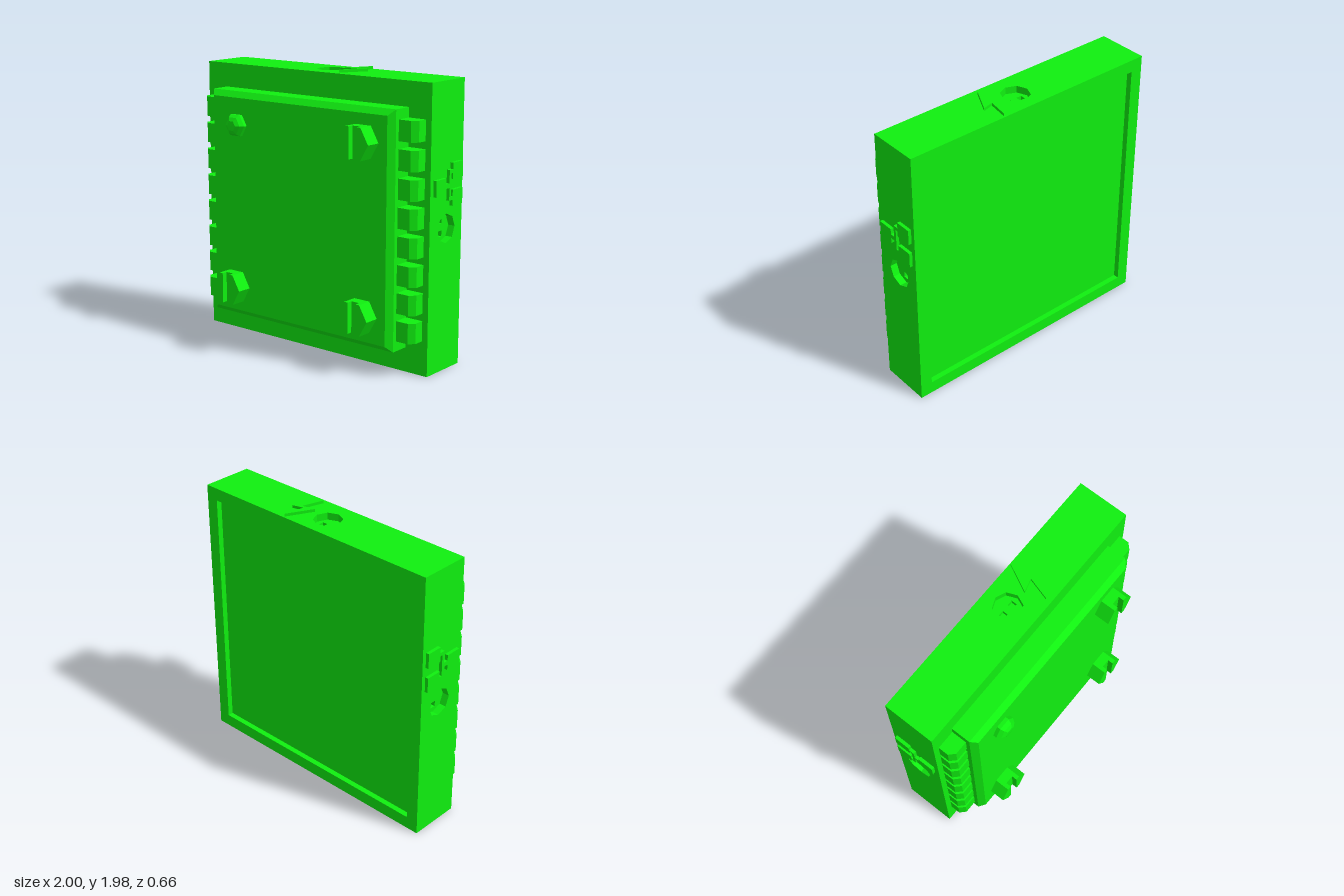
import * as THREE from 'three';

const W = 0.977, H = 1.96, ZB = -0.33, ZF = 0.04; // case half width, height, back and front
const green = new THREE.MeshStandardMaterial({ color: 0x10f010, flatShading: true });
const greenBoth = new THREE.MeshStandardMaterial({ color: 0x10f010, flatShading: true, side: THREE.DoubleSide });

function add(parent, name, geometry, x = 0, y = 0, z = 0, material = green) {
  const mesh = new THREE.Mesh(geometry, material);
  mesh.name = name;
  mesh.position.set(x, y, z);
  parent.add(mesh);
  return mesh;
}

function poly(points, holes = []) {
  const shape = new THREE.Shape(points.map(([x, y]) => new THREE.Vector2(x, y)));
  shape.holes = holes.map((h) => new THREE.Path(h.map(([x, y]) => new THREE.Vector2(x, y))));
  return shape;
}
const rect = (x0, x1, y0, y1) => [[x0, y0], [x1, y0], [x1, y1], [x0, y1]];
const ring = (n, r, cx = 0, cy = 0) => Array.from({ length: n }, (_, i) => {
  const a = (i / n) * Math.PI * 2;
  return [cx + r * Math.cos(a), cy + r * Math.sin(a)];
});
const extrude = (points, depth) => new THREE.ExtrudeGeometry(poly(points), { depth, bevelEnabled: false });

// One wall of the case in its own plane, facing local +z
function wall(parent, name, points, holes = []) {
  const group = new THREE.Group();
  group.name = name;
  add(group, name + 'Surface', new THREE.ShapeGeometry(poly(points, holes)));
  parent.add(group);
  return group;
}

// Sunken octagonal socket with two square pin holes in a row along local x
function socket(parent, x, y, turn) {
  const group = new THREE.Group();
  const r = 0.1, depth = 0.05, pin = 0.04, pinDepth = 0.03;
  group.name = 'socket';
  group.position.set(x, y, 0);
  group.rotation.z = turn;
  const well = new THREE.CylinderGeometry(r, r, depth, 8, 1, true).rotateX(Math.PI / 2);
  add(group, 'socketWall', well, 0, 0, -depth / 2, greenBoth);
  const pins = [-0.045, 0.045].map((c) => rect(c - pin / 2, c + pin / 2, -pin / 2, pin / 2));
  add(group, 'socketFloor', new THREE.ShapeGeometry(poly(ring(8, r), pins)), 0, 0, -depth);
  for (const c of [-0.045, 0.045]) {
    const tube = new THREE.CylinderGeometry(pin / Math.SQRT2, pin / Math.SQRT2, pinDepth, 4, 1, true)
      .rotateY(Math.PI / 4).rotateX(Math.PI / 2);
    add(group, 'pinHoleWall', tube, c, 0, -depth - pinDepth / 2, greenBoth);
    add(group, 'pinHoleFloor', new THREE.PlaneGeometry(pin, pin), c, 0, -depth - pinDepth);
  }
  parent.add(group);
}

// Hexagonal bolt head with a slot across it
function bolt(parent, x, y) {
  const group = new THREE.Group();
  group.name = 'bolt';
  group.position.set(x, y, 0.22);
  const r = 0.125, s = 0.032, h = r * Math.sqrt(3) / 2;
  add(group, 'boltBase', extrude(ring(6, r), 0.07));
  for (const d of [1, -1]) {
    const half = [[s * d, -h], [r / 2 * d, -h], [r * d, 0], [r / 2 * d, h], [s * d, h]];
    add(group, 'boltHalf', extrude(half, 0.04), 0, 0, 0.07);
  }
  parent.add(group);
}

export function createModel() {
  const model = new THREE.Group();
  model.name = 'wallUnit';

  // Case: front, bottom, and a back with a shallow recess
  wall(model, 'frontWall', rect(-W, W, 0, H)).position.z = ZF;
  const bottom = wall(model, 'bottomWall', rect(-W, W, ZB, ZF));
  bottom.rotation.x = Math.PI / 2;
  const m = 0.09, recess = 0.04;
  const back = wall(model, 'backWall', rect(-W, W, 0, H), [rect(m - W, W - m, m, H - m)]);
  back.rotation.y = Math.PI;
  back.position.z = ZB;
  add(back, 'recessFloor', new THREE.PlaneGeometry(2 * (W - m), H - 2 * m), 0, H / 2, -recess);
  for (const d of [1, -1]) {
    const side = add(back, 'recessSide', new THREE.PlaneGeometry(recess, H - 2 * m), d * (W - m), H / 2, -recess / 2);
    side.rotation.y = -d * Math.PI / 2;
    const edge = add(back, 'recessEdge', new THREE.PlaneGeometry(2 * (W - m), recess), 0, H / 2 + d * (H / 2 - m), -recess / 2);
    edge.rotation.x = d * Math.PI / 2;
  }

  // Top wall with a socket and a raised zigzag mark
  const top = wall(model, 'topWall', rect(-W, W, -ZF, -ZB), [ring(8, 0.1, 0, 0.155)]);
  top.rotation.x = -Math.PI / 2;
  top.position.y = H;
  socket(top, 0, 0.155, 0);
  const zigzag = [[0.235, 0.32], [0.14, 0.13], [0.235, 0.155], [0.19, 0], [0.29, 0.19], [0.21, 0.17]];
  add(top, 'zigzagMark', extrude(zigzag, 0.02));

  // Side walls, mirrored: socket and a raised mark of three linked blocks
  const blocks = [
    [-0.005, 0.11, 1.215, 1.325], [0.185, 0.3, 1.31, 1.418], [0.185, 0.3, 1.13, 1.238],
    [0.11, 0.145, 1.255, 1.285], [0.145, 0.165, 1.17, 1.375],
    [0.165, 0.185, 1.35, 1.375], [0.165, 0.185, 1.17, 1.195],
  ];
  for (const d of [1, -1]) {
    const side = wall(model, d > 0 ? 'leftWall' : 'rightWall',
      rect(-ZF * d, -ZB * d, 0, H), [ring(8, 0.1, 0.15 * d, 0.98)]);
    side.rotation.y = d * Math.PI / 2;
    side.position.x = d * W;
    socket(side, 0.15 * d, 0.98, Math.PI / 2);
    for (const [a, b, y0, y1] of blocks) {
      add(side, 'linkedBlock', extrude(rect(a * d, b * d, y0, y1), 0.023));
    }

    // Row of chamfered ribs beside the cover
    const rib = [[0.78, 0.03], [0.933, 0.03], [0.933, 0.113], [0.895, 0.15], [0.78, 0.15]];
    for (let i = 0; i < 8; i++) {
      const geo = extrude(rib.map(([x, z]) => [x * d, -z]), 0.14).rotateX(-Math.PI / 2);
      add(model, 'rib', geo, 0, 0.24 + i * 0.1917, 0);
    }
  }

  // Front cover with a chamfered rim
  const cover = new THREE.ExtrudeGeometry(poly(rect(-0.76, 0.76, 0.21, 1.75)), {
    depth: 0.15, bevelThickness: 0.04, bevelSize: 0.04, bevelSegments: 1,
  });
  add(model, 'cover', cover, 0, 0, 0.03);

  // Bolts in three corners, faceted lamp in the fourth
  for (const [x, y] of [[0.567, 1.565], [0.567, 0.39], [-0.567, 0.39]]) bolt(model, x, y);
  const dome = [[0.085, 0], [0.085, 0.025], [0.066, 0.052], [0.038, 0.068], [0, 0.07]];
  const lamp = new THREE.LatheGeometry(dome.map(([r, h]) => new THREE.Vector2(r, h)), 6)
    .rotateY(Math.PI / 2).rotateX(Math.PI / 2);
  add(model, 'lamp', lamp, -0.537, 1.56, 0.22);

  return model;
}
